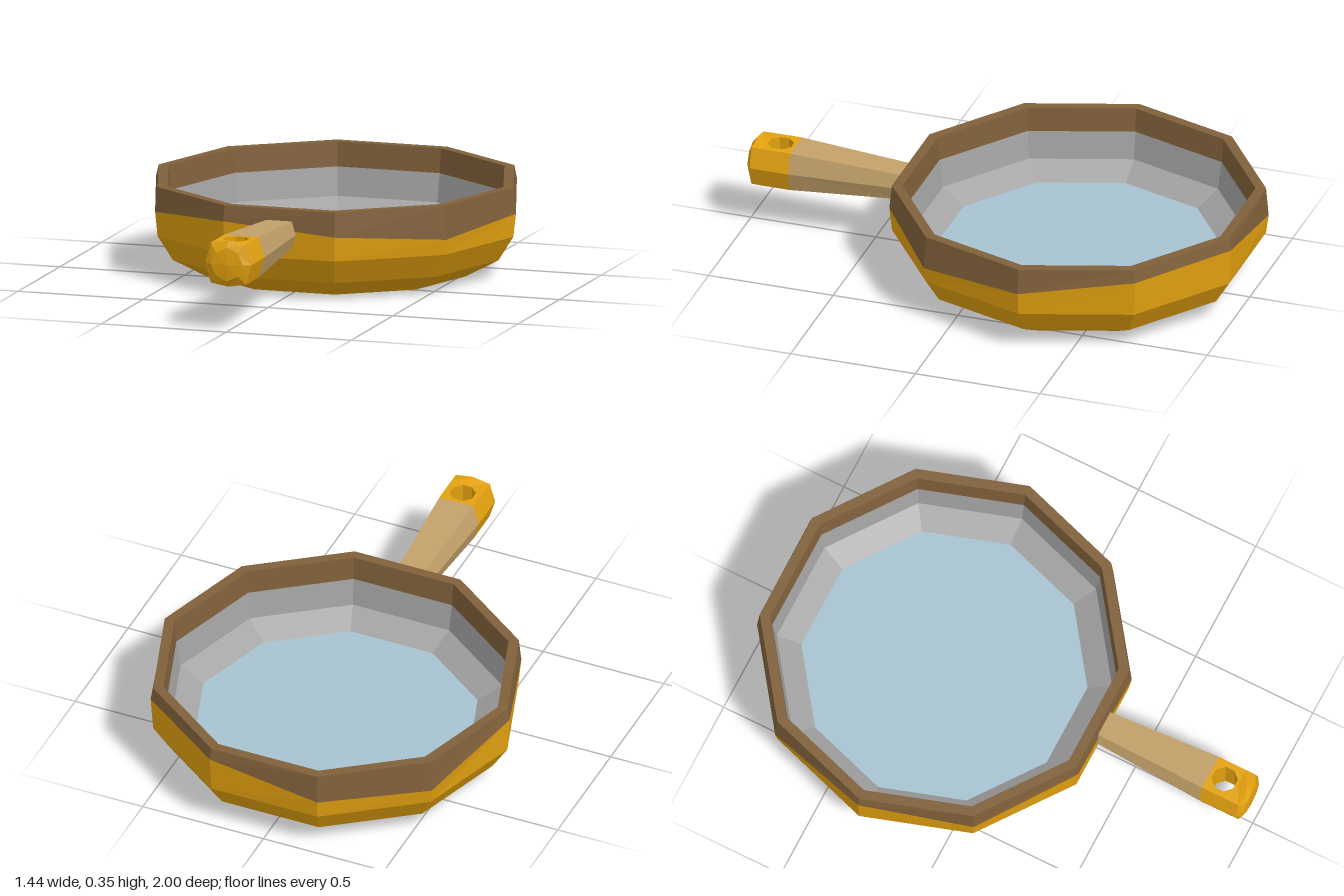
import * as THREE from 'three';

const mat = (name, color) => {
  const m = new THREE.MeshStandardMaterial({ color });
  m.name = name;
  return m;
};

// Skin between rings of points; unshared corners give flat facets.
// skip(i, j) leaves out the face j of band i.
function loft(rings, skip = () => false) {
  const pos = [];
  const tri = (a, b, c) => pos.push(...a, ...b, ...c);
  for (let i = 0; i < rings.length - 1; i++) {
    const a = rings[i], b = rings[i + 1], n = a.length;
    for (let j = 0; j < n; j++) {
      if (skip(i, j)) continue;
      const k = (j + 1) % n;
      tri(a[j], a[k], b[k]);
      tri(a[j], b[k], b[j]);
    }
  }
  const g = new THREE.BufferGeometry();
  g.setAttribute('position', new THREE.Float32BufferAttribute(pos, 3));
  g.computeVertexNormals();
  return g;
}

export function createModel() {
  const model = new THREE.Group();
  model.name = 'fryingPan';
  const gold = mat('gold', 0xe3a10f);
  const brown = mat('brown', 0x80603a);
  const tan = mat('tan', 0xc2a069);
  const grey = mat('grey', 0xa3a3a3);
  const blue = mat('paleBlue', 0xa6c3d0);

  const add = (parent, name, geometry, material) => {
    const m = new THREE.Mesh(geometry, material);
    m.name = name;
    parent.add(m);
    return m;
  };

  // Ten-sided bowl
  const bowl = new THREE.Group();
  bowl.name = 'bowl';
  bowl.position.z = -0.315;
  model.add(bowl);
  const ring = (r, y) => Array.from({ length: 10 }, (_, j) => {
    const t = j * Math.PI / 5;
    return [r * Math.cos(t), Array.isArray(y) ? y[j] : y, -r * Math.sin(t)];
  });
  // Uneven lower edge of the brown rim
  const edge = ring(0.72, [0.255, 0.305, 0.31, 0.24, 0.225, 0.31, 0.26, 0.295, 0.26, 0.225]);

  add(bowl, 'outerShell', loft([ring(0, 0), ring(0.52, 0), ring(0.65, 0.07), ring(0.71, 0.165), edge]), gold);
  add(bowl, 'rim', loft([edge, ring(0.71, 0.355), ring(0.67, 0.355), ring(0.662, 0.26)]), brown);
  add(bowl, 'innerWall', loft([ring(0.662, 0.26), ring(0.645, 0.15), ring(0.55, 0.095)]), grey);
  add(bowl, 'cookingFloor', loft([ring(0.55, 0.095), ring(0, 0.095)]), blue);

  // Handle, with sections facing +z
  const handle = new THREE.Group();
  handle.name = 'handle';
  handle.position.y = 0.26;
  model.add(handle);
  // w: side corner, f: half width of the flat, h: flat height, p: middle height
  const section = (z, w, f, h, p = h) => [
    [w, 0, z], [f, h, z], [0, p, z], [-f, h, z],
    [-w, 0, z], [-f, -h, z], [0, -p, z], [f, -h, z],
  ];
  const neck = section(0.82, 0.093, 0.07, 0.078);
  const hang = section(0.935, 0.093, 0.07, 0.078);
  add(handle, 'grip', loft([section(0.345, 0.066, 0.05, 0.05), neck]), tan);

  // Gold end: open above and below for the plates with the hanging hole
  const flats = [1, 2, 5, 6];
  add(handle, 'gripEnd', loft([
    neck, hang,
    section(0.975, 0.093, 0.07, 0.077, 0.089),
    section(0.993, 0.065, 0.045, 0.045, 0.065),
    section(1, 0, 0, 0),
  ], (i, j) => i === 0 && flats.includes(j)), gold);

  const plate = new THREE.Shape();
  plate.moveTo(-0.07, -0.935).lineTo(0.07, -0.935).lineTo(0.07, -0.82).lineTo(-0.07, -0.82).closePath();
  const hole = Array.from({ length: 8 }, (_, i) => {
    const t = -(i + 0.5) * Math.PI / 4;
    return new THREE.Vector2(0.05 * Math.cos(t), -0.88 + 0.05 * Math.sin(t));
  });
  plate.holes.push(new THREE.Path(hole));
  const top = add(handle, 'topPlate', new THREE.ShapeGeometry(plate).rotateX(-Math.PI / 2), gold);
  top.position.y = 0.078;
  const bottom = add(handle, 'bottomPlate',
    new THREE.ShapeGeometry(plate).rotateX(-Math.PI / 2).rotateZ(Math.PI), gold);
  bottom.position.y = -0.078;

  // Wall of the hanging hole, facing inward
  const holeRing = (y) => hole.map((p) => [p.x, y, -p.y]);
  add(handle, 'hangingHole', loft([holeRing(-0.078), holeRing(0.078)]), gold);

  return model;
}
